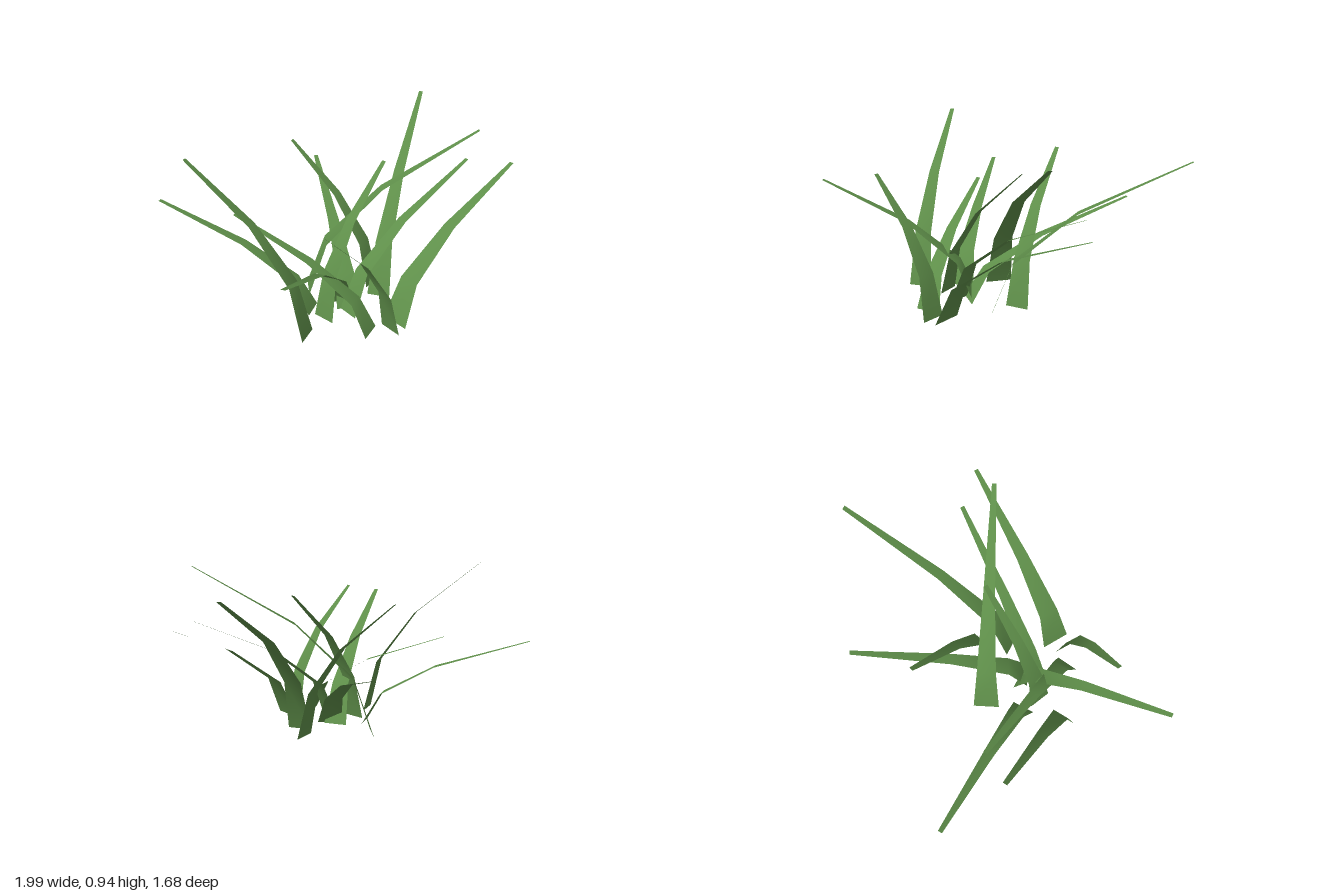
import * as THREE from 'three';

const SEGMENTS = 3;

// One tapered grass blade: height rises evenly, lean grows with the square of it.
function bladeGeometry([bx, bz, tx, ty, tz, baseWidth]) {
  const geo = new THREE.PlaneGeometry(1, 1, 1, SEGMENTS);
  const pos = geo.attributes.position;
  const dx = tx - bx, dz = tz - bz, lean = Math.hypot(dx, dz);
  const side = [-dz / lean, dx / lean]; // level, square to the lean
  for (let i = 0; i < pos.count; i++) {
    const t = pos.getY(i) + 0.5;
    const s = pos.getX(i) * THREE.MathUtils.lerp(baseWidth, 0.024, t);
    pos.setXYZ(i, bx + dx * t * t + side[0] * s, ty * t, bz + dz * t * t + side[1] * s);
  }
  geo.computeVertexNormals();
  return geo;
}

export function createModel() {
  const group = new THREE.Group();
  group.name = 'grassTuft';
  const material = new THREE.MeshStandardMaterial({ color: 0x5f8f4a, side: THREE.DoubleSide });

  // base x, base z, tip x, tip y, tip z, base width
  const blades = [
    [-0.22, 0.10, -0.99, 0.54, -0.37, 0.13],
    [-0.295, 0.335, -0.835, 0.92, -0.04, 0.13],
    [0.04, 0.38, -0.6, 0.53, -0.13, 0.13],
    [-0.04, 0.08, -0.48, 0.645, 0.83, 0.13],
    [0.15, 0.38, -0.235, 0.72, 0.575, 0.135],
    [0.17, -0.09, -0.215, 0.785, -0.48, 0.13],
    [0.17, 0.05, 0.66, 0.89, -0.815, 0.13],
    [-0.18, 0.20, 0.225, 0.78, -0.09, 0.13],
    [-0.205, -0.12, 0.735, 0.94, -0.02, 0.15],
    [-0.04, 0.18, 0.75, 0.69, -0.2, 0.13],
    [0.19, 0.32, 0.99, 0.68, -0.115, 0.165],
    [-0.02, 0.13, -0.012, 0.51, -0.84, 0.14],
  ];
  blades.forEach((b, i) => {
    const mesh = new THREE.Mesh(bladeGeometry(b), material);
    mesh.name = `grassBlade${i + 1}`;
    group.add(mesh);
  });
  return group;
}
